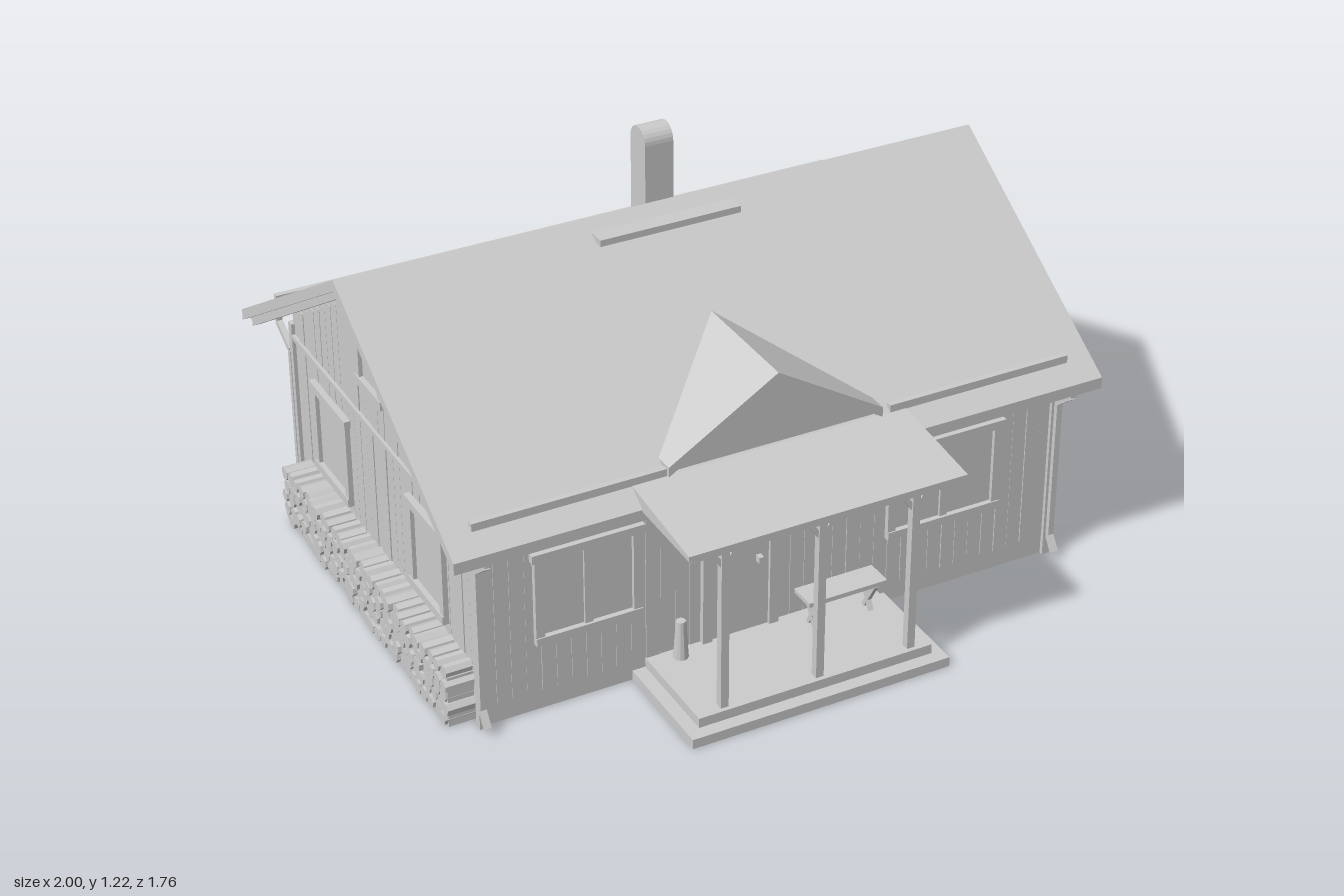
import * as THREE from 'three';

const material = new THREE.MeshStandardMaterial({ color: 0xcccccc, flatShading: true });
const RIDGE_Z = -0.12, WALL_L = -0.895, WALL_R = 0.91, WALL_F = 0.52, WALL_B = -0.74;
const PORCH_X = -0.02;

function mesh(parent, name, geometry) {
  const m = new THREE.Mesh(geometry, material);
  m.name = name;
  parent.add(m);
  return m;
}

// Box given by its lower and upper limits on each axis
function box(parent, name, x0, x1, y0, y1, z0, z1) {
  const m = mesh(parent, name, new THREE.BoxGeometry(x1 - x0, y1 - y0, z1 - z0));
  m.position.set((x0 + x1) / 2, (y0 + y1) / 2, (z0 + z1) / 2);
  return m;
}

// Square bar between two points
function bar(parent, name, a, b, w) {
  const p = new THREE.Vector3(...a), q = new THREE.Vector3(...b);
  const m = mesh(parent, name, new THREE.BoxGeometry(w, w, p.distanceTo(q)));
  m.position.copy(p).add(q).multiplyScalar(0.5);
  m.lookAt(q);
  return m;
}

function outline(points) {
  return new THREE.Shape(points.map(([a, b]) => new THREE.Vector2(a, b)));
}

// Profile in (z, y) swept along x
function sweepX(parent, name, points, x0, x1) {
  const g = new THREE.ExtrudeGeometry(outline(points.map(([z, y]) => [-z, y])), { depth: x1 - x0, bevelEnabled: false });
  g.rotateY(Math.PI / 2).translate(x0, 0, 0);
  return mesh(parent, name, g);
}

// Profile in (x, y) swept along z
function sweepZ(parent, name, points, z0, z1) {
  const g = new THREE.ExtrudeGeometry(outline(points), { depth: z1 - z0, bevelEnabled: false });
  g.translate(0, 0, z0);
  return mesh(parent, name, g);
}

function chevron(cx, top, left, right, low, t) {
  return [[left, low], [cx, top], [right, low], [right, low - t], [cx, top - t], [left, low - t]];
}

function seeded(seed) {
  return () => (seed = (seed * 16807) % 2147483647) / 2147483647;
}

const roofY = z => z > RIDGE_Z ? 1.09 - 0.635 * (z - RIDGE_Z) : 1.09 - 0.618 * (RIDGE_Z - z);

// Framed window in wall coordinates, facing local +z
function windowUnit(wall, u0, u1, y0, y1, mullion) {
  const g = new THREE.Group();
  g.name = 'window';
  wall.add(g);
  const f = 0.026;
  box(g, 'windowHeader', u0 - 0.008, u1 + 0.008, y1 - f, y1, 0, 0.022);
  box(g, 'windowSill', u0, u1, y0, y0 + f, 0, 0.022);
  box(g, 'windowJamb', u0, u0 + f, y0 + f, y1 - f, 0, 0.018);
  box(g, 'windowJamb', u1 - f, u1, y0 + f, y1 - f, 0, 0.018);
  box(g, 'windowPane', u0 + f, u1 - f, y0 + f, y1 - f, 0, 0.006);
  if (mullion) {
    const c = (u0 + u1) / 2;
    box(g, 'windowMullion', c - 0.012, c + 0.012, y0 + f, y1 - f, 0, 0.014);
  }
}

// Vertical planks of slightly uneven depth
function planks(wall, u0, u1, y0, topAt, seed) {
  const rnd = seeded(seed), n = Math.round((u1 - u0) / 0.045), w = (u1 - u0) / n;
  for (let i = 0; i < n; i++) {
    const a = u0 + i * w;
    const top = Math.min(topAt(a), topAt(a + w));
    if (top > y0) box(wall, 'plank', a + 0.001, a + w - 0.001, y0, top, -0.01, 0.001 + 0.003 * rnd());
  }
}

function wallGroup(house, name, x, z, turn) {
  const g = new THREE.Group();
  g.name = name;
  g.position.set(x, 0, z);
  g.rotation.y = turn;
  house.add(g);
  return g;
}

function buildWalls(house) {
  sweepX(house, 'walls', [[WALL_F, 0], [WALL_F, 0.64], [RIDGE_Z, 1.05], [WALL_B, 0.66], [WALL_B, 0]], WALL_L, WALL_R);

  const front = wallGroup(house, 'frontWall', 0, WALL_F, 0);
  planks(front, WALL_L, WALL_R, 0.06, () => 0.63, 11);
  windowUnit(front, -0.735, -0.415, 0.22, 0.515, true);
  windowUnit(front, 0.36, 0.73, 0.22, 0.515, true);
  // Door with frame, and the small window beside it
  box(front, 'door', -0.2, -0.02, 0.06, 0.54, 0, 0.01);
  for (const x of [-0.23, -0.02]) box(front, 'doorJamb', x, x + 0.03, 0.06, 0.57, 0, 0.02);
  box(front, 'doorKnob', -0.06, -0.045, 0.28, 0.3, 0, 0.03);
  windowUnit(front, 0.03, 0.17, 0.35, 0.52, false);

  const back = wallGroup(house, 'backWall', 0, WALL_B, Math.PI);
  planks(back, -WALL_R, -WALL_L, 0.05, () => 0.63, 23);

  for (const s of [1, -1]) {
    const side = wallGroup(house, s > 0 ? 'leftWall' : 'rightWall', s > 0 ? WALL_R : WALL_L, 0, s * Math.PI / 2);
    const span = (a, b) => [-s * a, -s * b].sort((p, q) => p - q);
    const [u0, u1] = span(WALL_B, WALL_F);
    planks(side, u0, u1, 0.06, () => 0.57, 37 + s);
    planks(side, u0, u1, 0.585, u => roofY(-s * u) - 0.045, 53 + s);
    box(side, 'beltTrim', u0, u1, 0.57, 0.585, 0, 0.012);
    windowUnit(side, ...span(0.1, 0.33), 0.22, 0.51, false);
    windowUnit(side, ...span(-0.58, -0.33), 0.22, 0.51, false);
    windowUnit(side, ...span(-0.22, -0.04), 0.7, 0.89, false);
  }

  // Corner boards
  for (const x of [WALL_L, WALL_R]) for (const z of [WALL_F, WALL_B])
    box(house, 'cornerBoard', x - 0.012, x + 0.012, 0, 0.62, z - 0.012, z + 0.012);
}

function buildRoof(house) {
  sweepX(house, 'mainRoof', chevron(RIDGE_Z, 1.09, 0.62, -0.88, 0.62, 0.035), -1, 1);
  for (const x of [-0.985, 0.965])
    sweepX(house, 'bargeBoard', chevron(RIDGE_Z, 1.06, 0.58, -0.84, 0.61, 0.03), x, x + 0.02);

  // Snow rails and the ridge step
  for (const [x0, x1, z] of [[-0.92, -0.34, 0.55], [0.34, 0.92, 0.55], [-0.92, 0.92, -0.81]])
    box(house, 'snowRail', x0, x1, roofY(z) - 0.01, roofY(z) + 0.018, z - 0.009, z + 0.009);
  box(house, 'ridgeStep', -0.25, 0.19, 1.045, 1.065, -0.1, -0.025);
  for (let x = -0.22; x < 0.18; x += 0.09) box(house, 'stepBracket', x, x + 0.015, 1.02, 1.046, -0.09, -0.04);

  // Chimney with a barrel top
  box(house, 'chimney', 0.02, 0.11, 0.85, 1.175, -0.37, -0.28);
  const cap = mesh(house, 'chimneyCap', new THREE.CylinderGeometry(0.045, 0.045, 0.09, 24).rotateZ(Math.PI / 2));
  cap.position.set(0.065, 1.175, -0.325);

  // Gutters and downpipes
  const gutter = (x0, x1, z) => box(house, 'gutter', x0, x1, 0.59, 0.615, z - 0.013, z + 0.013);
  gutter(-0.98, -0.45, 0.6);
  gutter(0.39, 0.98, 0.6);
  gutter(-0.98, 0.98, -0.86);
  for (const x of [-0.9, 0.915]) for (const [wz, ez, d] of [[0.537, 0.6, 1], [-0.757, -0.85, -1]]) {
    const path = [[x, 0.6, ez], [x, 0.57, ez], [x, 0.52, wz], [x, 0.07, wz], [x, 0.025, wz + d * 0.03]];
    for (let i = 1; i < path.length; i++) bar(house, 'downpipe', path[i - 1], path[i], 0.018);
  }
}

function buildPorch(house) {
  const porch = new THREE.Group();
  porch.name = 'porch';
  house.add(porch);
  box(porch, 'porchStep', -0.44, 0.365, 0, 0.03, 0.5, 0.875);
  box(porch, 'porchFloor', -0.4, 0.33, 0.03, 0.06, 0.5, 0.835);

  // Canopy, its fascia and beams
  sweepX(porch, 'porchRoof', [[0.5, 0.668], [0.56, 0.66], [0.88, 0.625], [0.88, 0.61], [0.5, 0.615]], -0.455, 0.39);
  box(porch, 'porchFascia', -0.435, 0.37, 0.59, 0.612, 0.5, 0.86);
  box(porch, 'porchSoffit', -0.42, 0.355, 0.575, 0.592, 0.5, 0.845);

  // Posts with braces
  for (const x of [-0.315, PORCH_X, 0.27]) {
    box(porch, 'porchPost', x - 0.012, x + 0.012, 0.06, 0.58, 0.798, 0.822);
    for (const s of [-1, 1]) bar(porch, 'postBrace', [x, 0.51, 0.81], [x + s * 0.045, 0.575, 0.81], 0.014);
  }

  // Gable above the canopy
  sweepZ(porch, 'porchGableRoof', chevron(PORCH_X, 0.892, -0.35, 0.31, 0.69, 0.03), 0.17, 0.568);
  sweepZ(porch, 'porchGableWall', [[-0.33, 0.65], [0.29, 0.65], [0.29, 0.68], [PORCH_X, 0.87], [-0.33, 0.68]], 0.3, 0.55);

  // Bench with crossed legs
  box(porch, 'benchSeat', 0.05, 0.3, 0.153, 0.167, 0.555, 0.64);
  for (const x of [0.085, 0.265]) {
    bar(porch, 'benchLeg', [x, 0.155, 0.635], [x, 0.06, 0.58], 0.013);
    bar(porch, 'benchLeg', [x, 0.155, 0.56], [x, 0.06, 0.615], 0.013);
  }

  // Milk churn and wall lantern
  const churn = mesh(porch, 'churn', new THREE.CylinderGeometry(0.014, 0.022, 0.12, 12));
  churn.position.set(-0.31, 0.12, 0.56);
  const lantern = mesh(porch, 'lantern', new THREE.CylinderGeometry(0.02, 0.012, 0.07, 6));
  lantern.position.set(-0.27, 0.44, 0.55);
}

// Stacked firewood along the side wall
function buildWoodpile(house) {
  const pile = new THREE.Group();
  pile.name = 'woodpile';
  house.add(pile);
  const rnd = seeded(71);
  box(pile, 'woodpileCore', -0.975, WALL_L, 0, 0.16, -0.68, 0.48);
  for (let row = 0; row < 5; row++) for (let i = 0; i < 29; i++) {
    const r = 0.019 + 0.003 * rnd(), out = 0.08 + 0.015 * rnd();
    const log = mesh(pile, 'log', new THREE.CylinderGeometry(r, r, out, 7).rotateZ(Math.PI / 2));
    log.position.set(WALL_L - out / 2, 0.022 + row * 0.037, -0.66 + i * 0.04 + (row % 2) * 0.015);
    log.rotation.x = rnd() * 3;
  }
}

export function createModel() {
  const house = new THREE.Group();
  house.name = 'house';
  buildWalls(house);
  buildRoof(house);
  buildPorch(house);
  buildWoodpile(house);
  return house;
}
